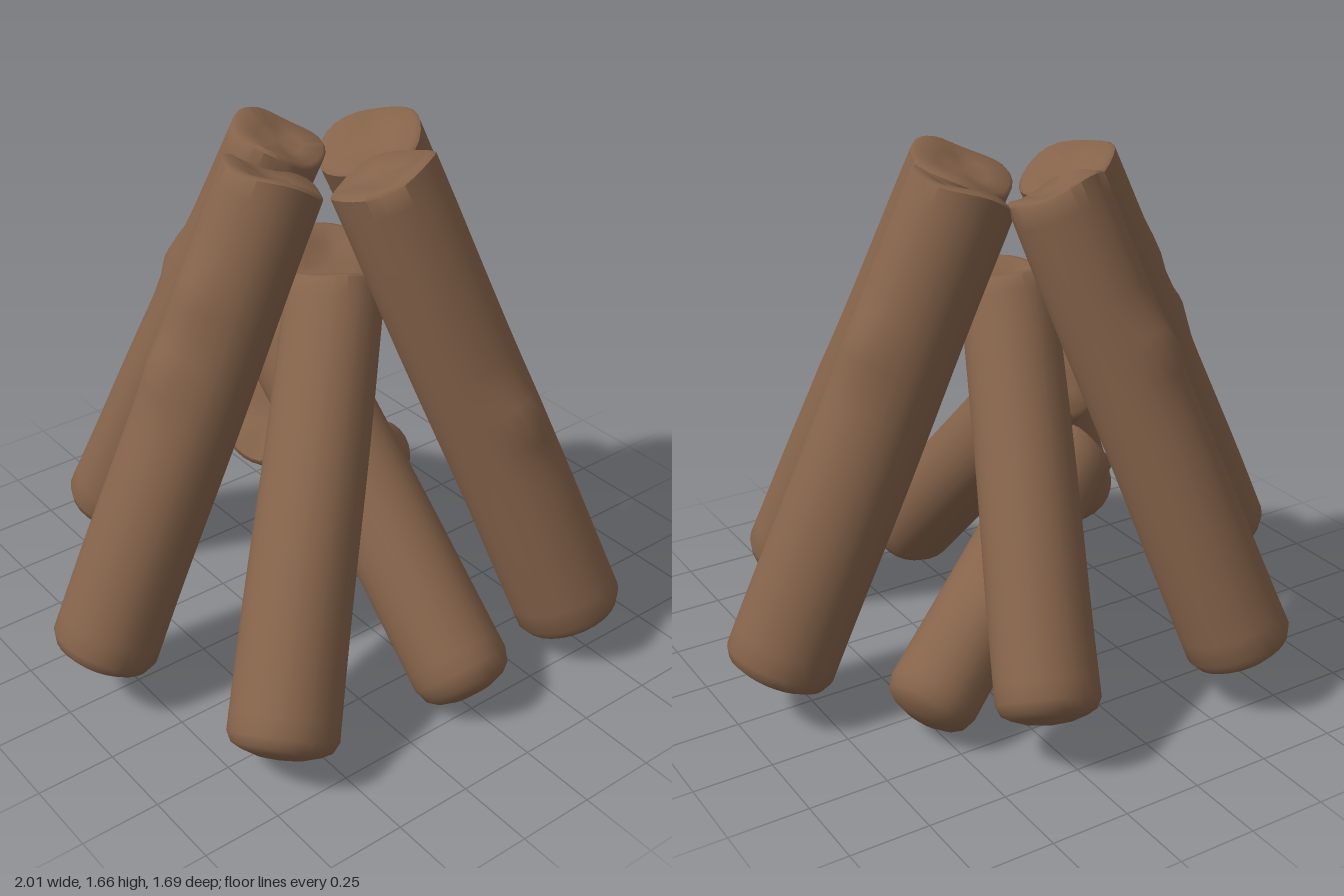
import * as THREE from 'three';
import { mergeVertices, toCreasedNormals } from 'three/addons/utils/BufferGeometryUtils.js';

const V = (a) => new THREE.Vector3(...a);

// Each log: centre of the foot, centre of the top, foot and top radius, depth of the domed foot, knots [x, y, z]
const LOGS = [
  { name: 'leftTallLog', foot: [0.875, 0.145, -0.025], top: [0.2, 1.59, -0.04], r: [0.172, 0.168], knots: [[0.57, 1.17, -0.08]] },
  { name: 'rightTallLog', foot: [-0.875, 0.155, 0], top: [-0.185, 1.59, 0], r: [0.168, 0.16], knots: [[-0.61, 1.08, 0], [-0.5, 1.29, 0.02]] },
  { name: 'frontTallLog', foot: [0.485, 0.108, 0.695], top: [0.065, 1.59, 0.18], r: [0.174, 0.167], knots: [[0.3, 0.88, 0.62]] },
  { name: 'backTallLog', foot: [-0.41, 0.155, -0.7], top: [-0.01, 1.6, -0.205], r: [0.168, 0.15], knots: [[-0.21, 1.16, -0.5]] },
  { name: 'frontRightLog', foot: [-0.665, 0.115, 0.65], top: [0.01, 1.2, 0.05], r: [0.168, 0.152], knots: [] },
  { name: 'frontLowLog', foot: [-0.005, 0.08, 0.75], top: [-0.04, 0.99, -0.17], r: [0.156, 0.15], round: 0.05, knots: [] },
  { name: 'backLeftLog', foot: [0.317, 0.17, -0.7], top: [0.02, 1.25, 0], r: [0.157, 0.147], knots: [] },
  { name: 'backLowLog', foot: [0.57, 0.105, -0.403], top: [-0.17, 0.7, -0.1], r: [0.143, 0.138], round: 0.045, knots: [[0.3, 0.4, -0.4]] },
];

function makeLog({ name, foot, top, r, round = 0.035, knots }, index, material) {
  const a = V(foot), b = V(top);
  const length = a.distanceTo(b);
  const turn = new THREE.Quaternion().setFromUnitVectors(V([0, 1, 0]), b.clone().sub(a).normalize());

  // Profile: gently domed foot, tapering trunk, crisp slightly dished top
  const profile = [[0, -0.02], [r[0] * 0.4, -0.014], [r[0] * 0.72, 0.002], [r[0] * 0.9, round * 0.5], [r[0], round * 1.4]];
  const rings = 22;
  for (let i = 1; i <= rings; i++) {
    const t = i / rings;
    profile.push([r[0] + (r[1] - r[0]) * t, round * 1.4 + (length - 0.01 - round * 1.4) * t]);
  }
  profile.push([r[1] * 0.92, length], [r[1] * 0.5, length - 0.012], [0, length - 0.02]);
  let geo = new THREE.LatheGeometry(profile.map(([x, y]) => new THREE.Vector2(x, y)), 26);
  geo.deleteAttribute('uv');
  geo.deleteAttribute('normal');
  geo = mergeVertices(geo, 1e-4);

  // Uneven bark, worn top rim and knots swelling outward
  const localKnots = knots.map((k) => V(k).sub(a).applyQuaternion(turn.clone().invert()));
  const pos = geo.attributes.position;
  const p = new THREE.Vector3();
  for (let i = 0; i < pos.count; i++) {
    p.fromBufferAttribute(pos, i);
    const angle = Math.atan2(p.z, p.x);
    let scale = 1 + 0.014 * Math.sin(3 * angle + index * 1.7 + p.y * 1.5) + 0.01 * Math.sin(p.y * 6 + index * 2 + angle);
    for (const k of localKnots) scale += 0.17 * Math.exp(-p.distanceToSquared(k) / 0.006);
    const rim = p.y > length - 0.04 ? Math.hypot(p.x, p.z) / r[1] : 0;
    pos.setXYZ(i, p.x * scale, p.y + 0.01 * rim * Math.sin(3 * angle + index * 2.3), p.z * scale);
  }

  const log = new THREE.Mesh(toCreasedNormals(geo, 0.9), material);
  log.name = name;
  log.position.copy(a);
  log.quaternion.copy(turn);
  return log;
}

export function createModel() {
  const bark = new THREE.MeshStandardMaterial({ color: 0x85634a });
  bark.name = 'brown bark';
  const group = new THREE.Group();
  group.name = 'stackedFirewood';
  LOGS.forEach((spec, i) => group.add(makeLog(spec, i, bark)));
  return group;
}
